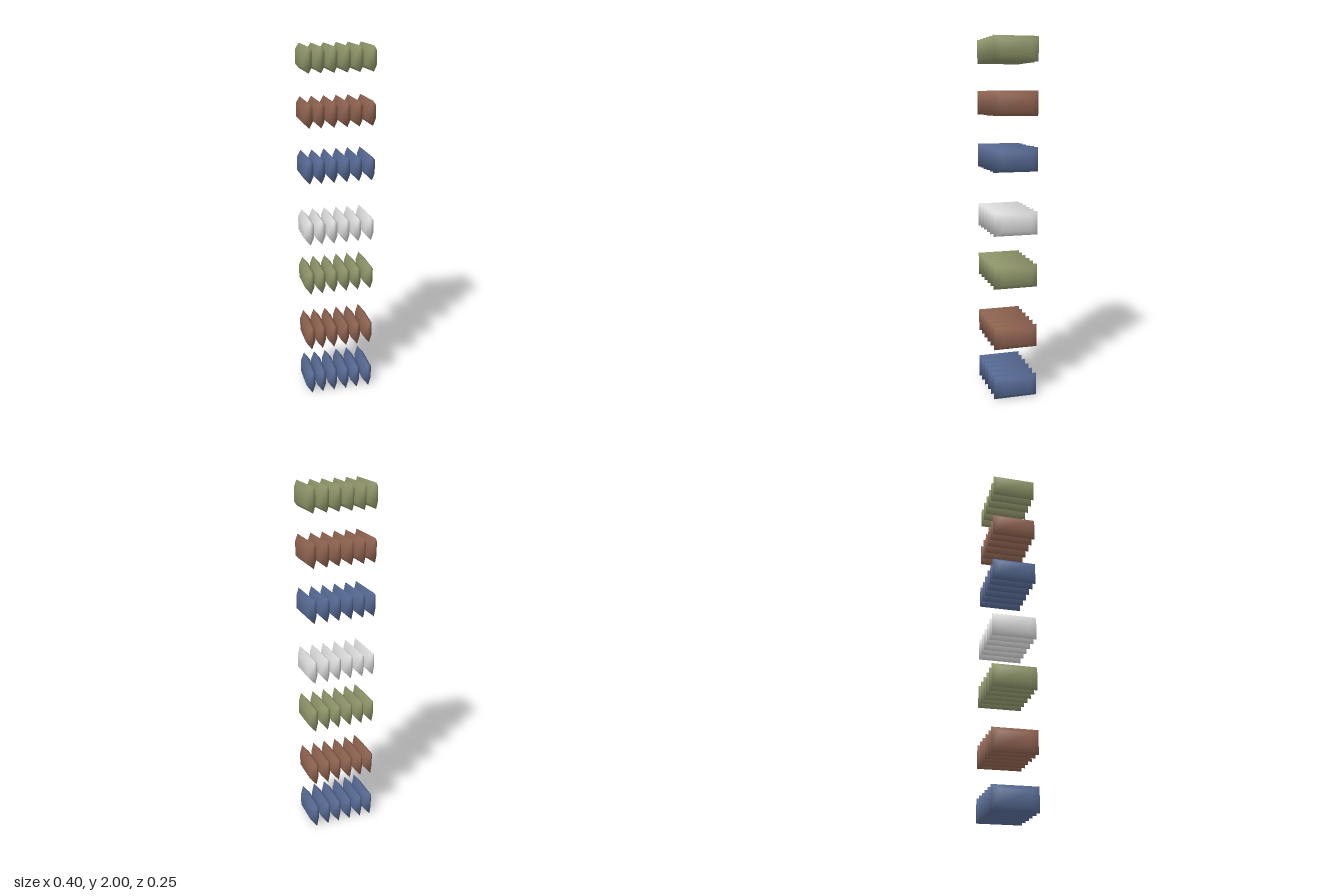
import * as THREE from 'three';
import { mergeVertices } from 'three/addons/utils/BufferGeometryUtils.js';

const W = 0.056, H = 0.132, D = 0.25; // slab width, height, depth
const BEVEL_Y = 0.028, BEVEL_Z = 0.042;

// Slab with a full-size ridge in its middle plane, bevelled towards both side faces
function slabGeometry() {
  const box = new THREE.BoxGeometry(W, H, D, 2, 1, 1);
  const p = box.attributes.position;
  for (let i = 0; i < p.count; i++) {
    if (Math.abs(p.getX(i)) < W / 4) continue;
    p.setY(i, Math.sign(p.getY(i)) * (H / 2 - BEVEL_Y));
    p.setZ(i, Math.sign(p.getZ(i)) * (D / 2 - BEVEL_Z));
  }
  // Weld the corners so the shading runs smoothly over every edge
  box.deleteAttribute('uv');
  box.deleteAttribute('normal');
  const slab = mergeVertices(box);
  slab.clearGroups();
  slab.computeVertexNormals();
  return slab;
}

function material(name, color) {
  return new THREE.MeshStandardMaterial({ name, color });
}

export function createModel() {
  const model = new THREE.Group();
  model.name = 'slabStack';
  const olive = material('olive', 0x8f9569);
  const brown = material('brown', 0x8f6350);
  const blue = material('blue', 0x566a94);
  const white = material('white', 0xdedede);

  // Rows from bottom to top: centre height and colour
  const rows = [
    [0.066, blue], [0.358, brown], [0.708, olive], [1.005, white],
    [1.353, blue], [1.652, brown], [1.934, olive],
  ];
  const columns = [-0.172, -0.108, -0.039, 0.032, 0.099, 0.172];
  const geometry = slabGeometry();

  rows.forEach(([y, mat], r) => {
    const row = new THREE.Group();
    row.name = `${mat.name}Row${r + 1}`;
    row.position.y = y;
    columns.forEach((x, c) => {
      const slab = new THREE.Mesh(geometry, mat);
      slab.name = `slab${c + 1}`;
      slab.position.x = x;
      row.add(slab);
    });
    model.add(row);
  });
  return model;
}
